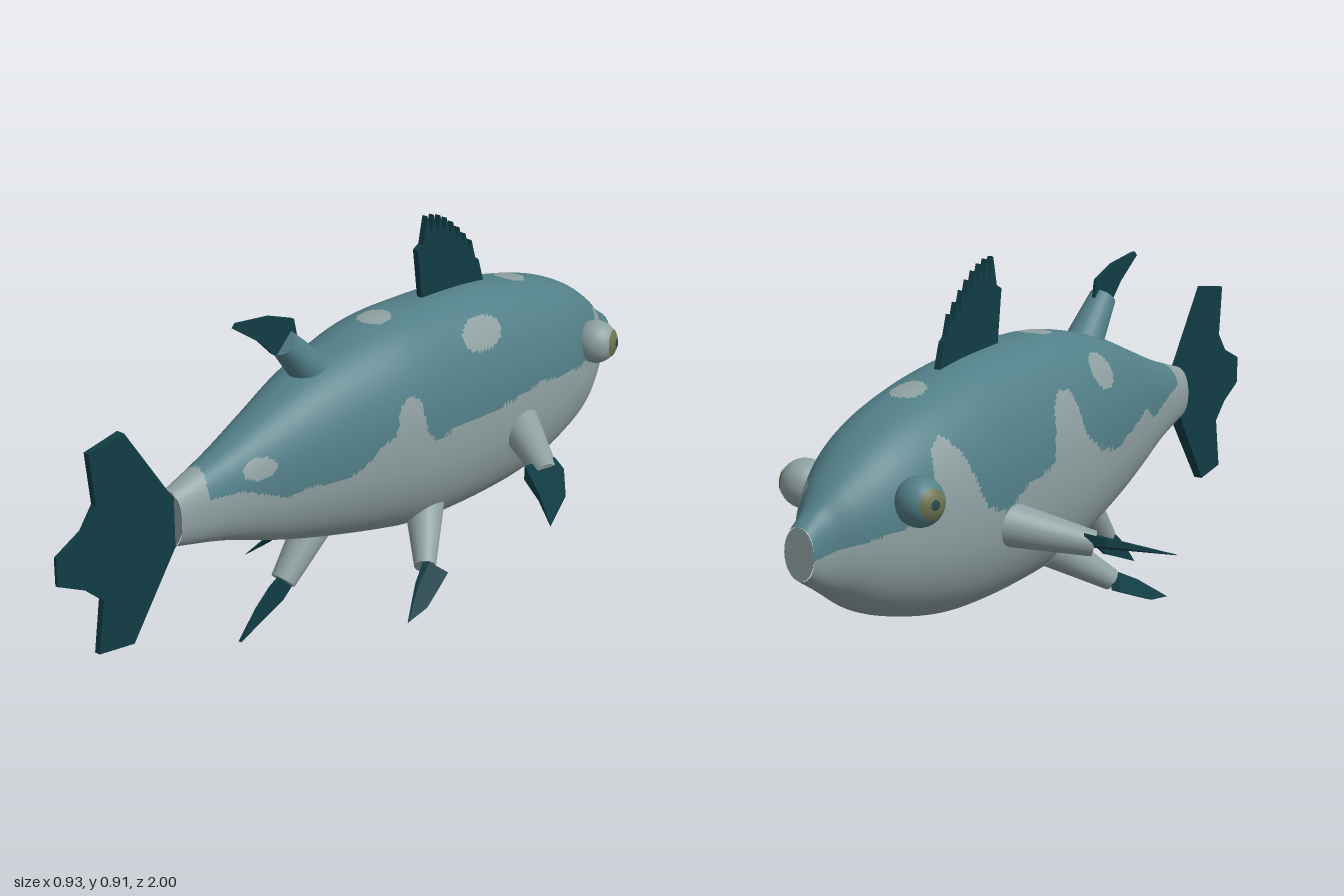
import * as THREE from 'three';

const mat = (name, color) => {
  const m = new THREE.MeshStandardMaterial({ color });
  m.name = name;
  return m;
};
const teal = mat('teal back', 0x527f88);
const grey = mat('pale grey belly', 0x8fa0a1);
const dark = mat('dark fin', 0x103c44);
dark.side = THREE.DoubleSide;
const olive = mat('olive iris', 0x6b7350);
const pupilMat = mat('pupil', 0x24484a);

// Body stations: z, top y, bottom y, half width
const STATIONS = [
  [-1, 0.43, 0.31, 0.04], [-0.95, 0.465, 0.28, 0.052], [-0.9, 0.51, 0.25, 0.085],
  [-0.8, 0.58, 0.19, 0.135], [-0.7, 0.625, 0.155, 0.162], [-0.55, 0.665, 0.122, 0.184],
  [-0.4, 0.69, 0.113, 0.19], [-0.2, 0.703, 0.12, 0.19], [-0.1, 0.705, 0.132, 0.188],
  [0, 0.696, 0.155, 0.18], [0.2, 0.648, 0.208, 0.142], [0.35, 0.592, 0.255, 0.105],
  [0.5, 0.535, 0.31, 0.07], [0.65, 0.49, 0.35, 0.04],
];

// Edge between back and belly colours as [z, y], for each flank
const EDGE_LEFT = [
  [-1, 0.36], [-0.95, 0.38], [-0.925, 0.42], [-0.9, 0.49], [-0.87, 0.5], [-0.84, 0.48], [-0.82, 0.42],
  [-0.7, 0.41], [-0.55, 0.43], [-0.5, 0.44], [-0.4, 0.43], [-0.25, 0.425], [-0.15, 0.43], [-0.08, 0.42],
  [-0.05, 0.45], [-0.035, 0.54], [0, 0.555], [0.03, 0.54], [0.05, 0.47], [0.1, 0.455], [0.14, 0.42],
  [0.2, 0.4], [0.3, 0.41], [0.36, 0.4], [0.42, 0.425], [0.48, 0.45], [0.57, 0.455], [0.6, 0.5], [0.66, 0.6],
];
const EDGE_RIGHT = [
  [-1, 0.36], [-0.9, 0.38], [-0.8, 0.4], [-0.72, 0.44], [-0.69, 0.55], [-0.65, 0.58], [-0.61, 0.54],
  [-0.55, 0.4], [-0.47, 0.37], [-0.4, 0.41], [-0.27, 0.44], [-0.24, 0.56], [-0.2, 0.6], [-0.15, 0.59],
  [-0.12, 0.48], [-0.05, 0.43], [0.05, 0.41], [0.2, 0.44], [0.28, 0.46], [0.35, 0.42], [0.5, 0.45],
  [0.57, 0.46], [0.6, 0.5], [0.66, 0.6],
];
// Pale spots: centre x y z, then radii
const SPOTS = [
  [0.15, 0.62, -0.31, 0.08, 0.04, 0.075], [0.08, 0.49, 0.43, 0.06, 0.026, 0.045],
  [-0.13, 0.6, 0.03, 0.05, 0.05, 0.06], [0, 0.65, -0.59, 0.042, 0.1, 0.045], [0, 0.7, -0.06, 0.042, 0.1, 0.042],
];

function lerpTable(table, z, col) {
  let i = 0;
  while (i < table.length - 2 && z > table[i + 1][0]) i++;
  const a = table[i], b = table[i + 1];
  return THREE.MathUtils.lerp(a[col], b[col], (z - a[0]) / (b[0] - a[0]));
}

function isPale(x, y, z) {
  if (z > 0.555 + 0.3 * Math.abs(x)) return true;
  if (y < lerpTable(x > 0 ? EDGE_LEFT : EDGE_RIGHT, z, 1)) return true;
  return SPOTS.some(([cx, cy, cz, rx, ry, rz]) =>
    ((x - cx) / rx) ** 2 + ((y - cy) / ry) ** 2 + ((z - cz) / rz) ** 2 < 1);
}

// Lofted oval sections; each face goes to the back or belly colour
function makeBody() {
  const NZ = 220, NA = 140, pos = [], back = [], belly = [];
  const topCurve = new THREE.CatmullRomCurve3(STATIONS.map((s) => new THREE.Vector3(s[0], s[1], s[2])));
  const sideCurve = new THREE.CatmullRomCurve3(STATIONS.map((s) => new THREE.Vector3(s[0], s[3], 0)));
  const power = (v) => Math.sign(v) * Math.abs(v) ** 0.9;
  for (let i = 0; i <= NZ; i++) {
    const p = topCurve.getPoint(i / NZ), w = sideCurve.getPoint(i / NZ).y;
    for (let j = 0; j < NA; j++) {
      const a = (j / NA) * Math.PI * 2;
      pos.push(w * power(Math.cos(a)), (p.y + p.z) / 2 + ((p.y - p.z) / 2) * power(Math.sin(a)), p.x);
    }
  }
  const add = (...tri) => {
    const mid = (k) => tri.reduce((s, v) => s + pos[v * 3 + k], 0) / 3;
    (isPale(mid(0), mid(1), mid(2)) ? belly : back).push(...tri);
  };
  for (let i = 0; i < NZ; i++) {
    for (let j = 0; j < NA; j++) {
      const a = i * NA + j, b = i * NA + ((j + 1) % NA);
      add(a, b, a + NA);
      add(b, b + NA, a + NA);
    }
  }
  const g = new THREE.BufferGeometry();
  g.setAttribute('position', new THREE.Float32BufferAttribute(pos, 3));
  g.setIndex(back.concat(belly));
  g.addGroup(0, back.length, 0);
  g.addGroup(back.length, belly.length, 1);
  g.computeVertexNormals();
  return new THREE.Mesh(g, [teal, grey]);
}

export function createModel() {
  const model = new THREE.Group();
  const put = (name, mesh, parent = model) => {
    mesh.name = name;
    parent.add(mesh);
    return mesh;
  };

  // Tapered stalk from a to b
  const stalk = (a, b, r0, r1, material) => {
    const A = new THREE.Vector3(...a), B = new THREE.Vector3(...b), d = B.clone().sub(A);
    const mesh = new THREE.Mesh(new THREE.CylinderGeometry(r1, r0, d.length(), 24), material);
    mesh.position.copy(A).add(B).multiplyScalar(0.5);
    mesh.quaternion.setFromUnitVectors(new THREE.Vector3(0, 1, 0), d.normalize());
    return mesh;
  };

  // Thin fin: an extruded outline whose vertices are placed by a rule
  const fin = (outline, thickness, place) => {
    const shape = new THREE.Shape(outline.map((p) => new THREE.Vector2(...p)));
    const g = new THREE.ExtrudeGeometry(shape, { depth: thickness, bevelEnabled: false });
    const p = g.attributes.position;
    for (let i = 0; i < p.count; i++) p.setXYZ(i, ...place(p.getX(i), p.getY(i), p.getZ(i) - thickness / 2));
    g.computeVertexNormals();
    return new THREE.Mesh(g, dark);
  };
  const upright = (z, y, t) => [t, y, z];

  put('body', makeBody());

  // Mouth and tail root discs
  const mouth = put('mouth', new THREE.Mesh(new THREE.CircleGeometry(1, 32), grey));
  mouth.scale.set(0.04, 0.06, 1);
  mouth.position.set(0, 0.37, -1);
  mouth.rotation.y = Math.PI;
  const root = put('tailRoot', new THREE.Mesh(new THREE.CircleGeometry(1, 32), grey));
  root.scale.set(0.04, 0.07, 1);
  root.position.set(0, 0.42, 0.65);

  // Tail fin, thinning towards the rear
  put('tailFin', fin([
    [0.62, 0.45], [0.66, 0.49], [0.79, 0.685], [0.895, 0.67], [0.88, 0.54], [0.92, 0.49], [1, 0.455],
    [1, 0.385], [0.92, 0.345], [0.87, 0.3], [0.89, 0.17], [0.785, 0.155], [0.655, 0.345], [0.62, 0.39],
  ], 0.03, (z, y, t) => [t * (1.15 - (z - 0.62) * 2.4), y, z]));

  // Spiny dorsal fin
  const spines = [[-0.475, 0.68], [-0.455, 0.74]];
  for (let i = 0; i < 8; i++) {
    const z = -0.425 + i * 0.025, y = 0.8 + 0.11 * Math.sin((i / 7) * Math.PI / 2);
    spines.push([z - 0.016, y - 0.05], [z, y]);
  }
  spines.push([-0.235, 0.84], [-0.215, 0.83], [-0.235, 0.68]);
  put('dorsalFin', fin(spines, 0.016, upright));

  // Rear dorsal fin on its stalk
  put('rearDorsalStalk', stalk([0, 0.59, 0.13], [0, 0.735, 0.265], 0.056, 0.034, teal));
  put('rearDorsalFin', fin([
    [0.22, 0.74], [0.23, 0.785], [0.31, 0.815], [0.42, 0.83], [0.43, 0.82], [0.35, 0.765], [0.3, 0.715], [0.26, 0.71],
  ], 0.009, upright));

  // Anal fin on its stalk
  put('analStalk', stalk([0, 0.25, 0.14], [0, 0.11, 0.275], 0.052, 0.032, grey));
  put('analFin', fin([
    [0.23, 0.1], [0.28, 0.13], [0.32, 0.11], [0.37, 0.07], [0.43, 0.005], [0.35, 0.035], [0.28, 0.06],
  ], 0.009, upright));

  // Paired fins and eyes
  for (const side of [1, -1]) {
    const half = put(side > 0 ? 'leftSide' : 'rightSide', new THREE.Group());
    half.scale.x = side;

    put('pectoralStalk', stalk([0.12, 0.345, -0.465], [0.335, 0.285, -0.335], 0.06, 0.03, grey), half);
    put('pectoralFin', fin([
      [0.285, -0.307], [0.33, -0.37], [0.375, -0.35], [0.43, -0.285], [0.465, -0.18], [0.375, -0.25],
    ], 0.02, (x, z, t) => [x, 0.24 + 0.33 * (-z - 0.18) + t * (0.475 - x) * 10, z]), half);

    put('pelvicStalk', stalk([0.1, 0.195, -0.14], [0.2, 0.1, -0.025], 0.05, 0.027, grey), half);
    put('pelvicFin', fin([
      [-0.06, 0.085], [-0.02, 0.12], [0.04, 0.09], [0.09, 0.055], [0.125, 0.03], [0.05, 0.04], [0, 0.06],
    ], 0.02, (z, y, t) => [0.272 - 0.7 * (y - 0.03) + t * (0.14 - z) * 6, y, z]), half);

    const eye = put('eye', new THREE.Group(), half);
    eye.position.set(0.155, 0.457, -0.772);
    eye.quaternion.setFromUnitVectors(new THREE.Vector3(0, 1, 0), new THREE.Vector3(0.94, 0.06, -0.32).normalize());
    const cap = (r, angle) => new THREE.SphereGeometry(r, 28, 16, 0, Math.PI * 2, 0, angle);
    put('eyeball', new THREE.Mesh(cap(0.057, Math.PI), side > 0 ? grey : teal), eye);
    put('iris', new THREE.Mesh(cap(0.0585, 0.64), olive), eye);
    put('pupil', new THREE.Mesh(cap(0.0595, 0.2), pupilMat), eye);
  }
  return model;
}
